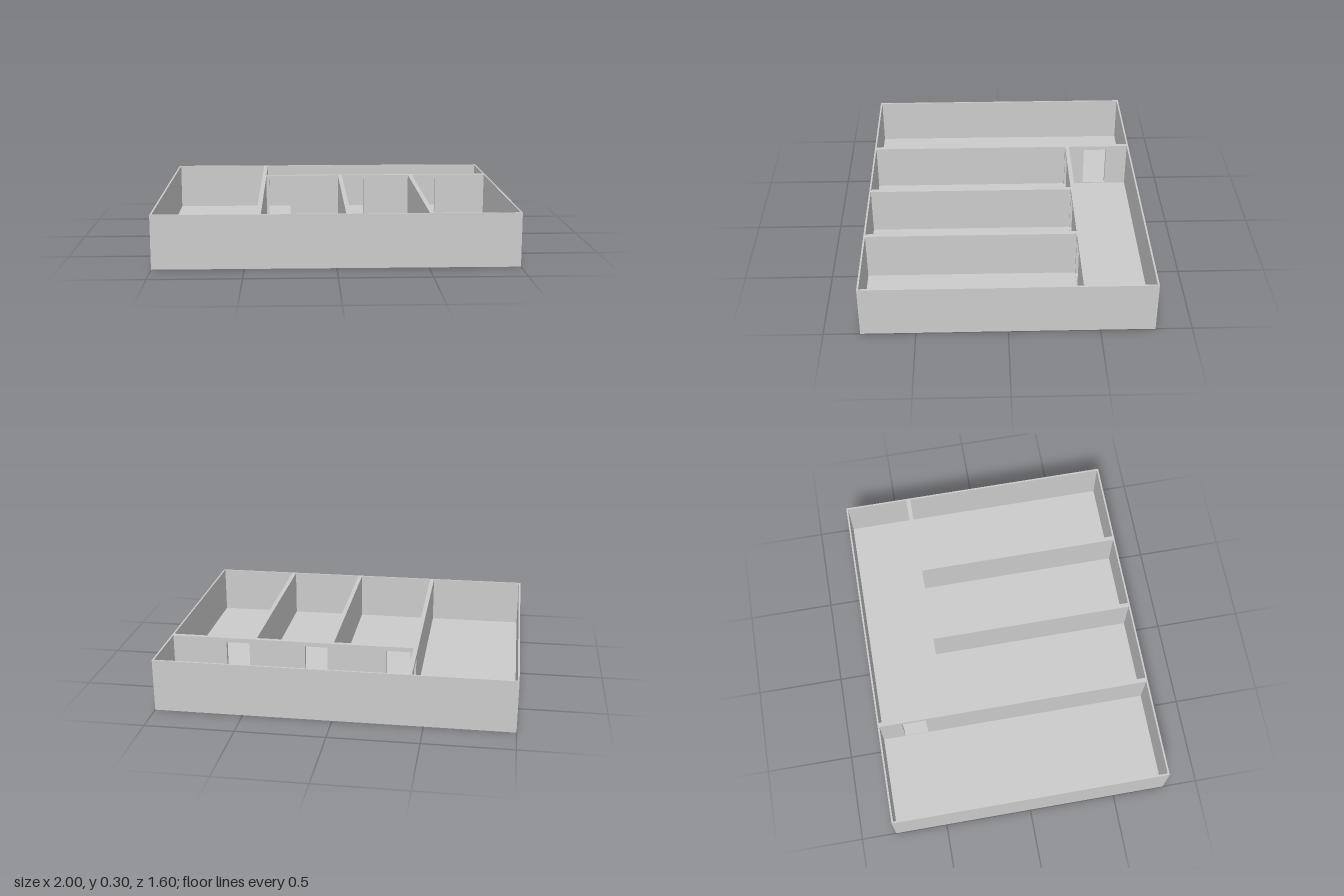
import * as THREE from 'three';

const HEIGHT = 0.3, FLOOR = 0.025, OUTER = 0.01, INNER = 0.025;
const DOOR_BOTTOM = 0.03, DOOR_TOP = 0.275;
const HALF_X = 1, HALF_Z = 0.8;

const material = new THREE.MeshStandardMaterial({ color: 0xcccccc, flatShading: true });

function rect(path, x0, y0, x1, y1) {
  path.moveTo(x0, y0);
  path.lineTo(x1, y0);
  path.lineTo(x1, y1);
  path.lineTo(x0, y1);
  path.closePath();
  return path;
}

// Upright wall panel from u0 to u1, with door openings given as [start, end]
function wallGeometry(u0, u1, doors) {
  const shape = rect(new THREE.Shape(), u0, FLOOR, u1, HEIGHT);
  for (const [a, b] of doors) {
    shape.holes.push(rect(new THREE.Path(), a, DOOR_BOTTOM, b, DOOR_TOP));
  }
  return new THREE.ExtrudeGeometry(shape, { depth: INNER, bevelEnabled: false });
}

export function createModel() {
  const model = new THREE.Group();
  model.name = 'floorPlan';
  const add = (name, geometry) => {
    const mesh = new THREE.Mesh(geometry, material);
    mesh.name = name;
    model.add(mesh);
    return mesh;
  };

  // Floor slab, fitted inside the outer walls
  add('floor', new THREE.BoxGeometry(2 * (HALF_X - OUTER), FLOOR, 2 * (HALF_Z - OUTER)))
    .position.y = FLOOR / 2;

  // Thin outer walls as one closed ring
  const ring = rect(new THREE.Shape(), -HALF_X, -HALF_Z, HALF_X, HALF_Z);
  const ix = HALF_X - OUTER, iz = HALF_Z - OUTER;
  ring.holes.push(rect(new THREE.Path(), -ix, -iz, ix, iz));
  const ringGeometry = new THREE.ExtrudeGeometry(ring, { depth: HEIGHT, bevelEnabled: false });
  add('outerWalls', ringGeometry.rotateX(-Math.PI / 2));

  // Full-depth wall beside the large room, with a door to the corridor
  // (rotated so that the panel's u axis runs along -z)
  const mainWall = add('largeRoomWall', wallGeometry(-iz, iz, [[0.52, 0.66]]));
  mainWall.rotation.y = Math.PI / 2;
  mainWall.position.x = -0.432;

  // Corridor wall with one door into each small room
  const doors = [[-0.39, -0.255], [0.085, 0.215], [0.54, 0.675]];
  add('corridorWall', wallGeometry(-0.407, ix, doors)).position.z = -0.424;

  // Partitions between the small rooms
  for (const x of [0.05, 0.5]) {
    const partition = add('roomPartition', wallGeometry(-iz, 0.399, []));
    partition.rotation.y = Math.PI / 2;
    partition.position.x = x;
  }
  return model;
}
